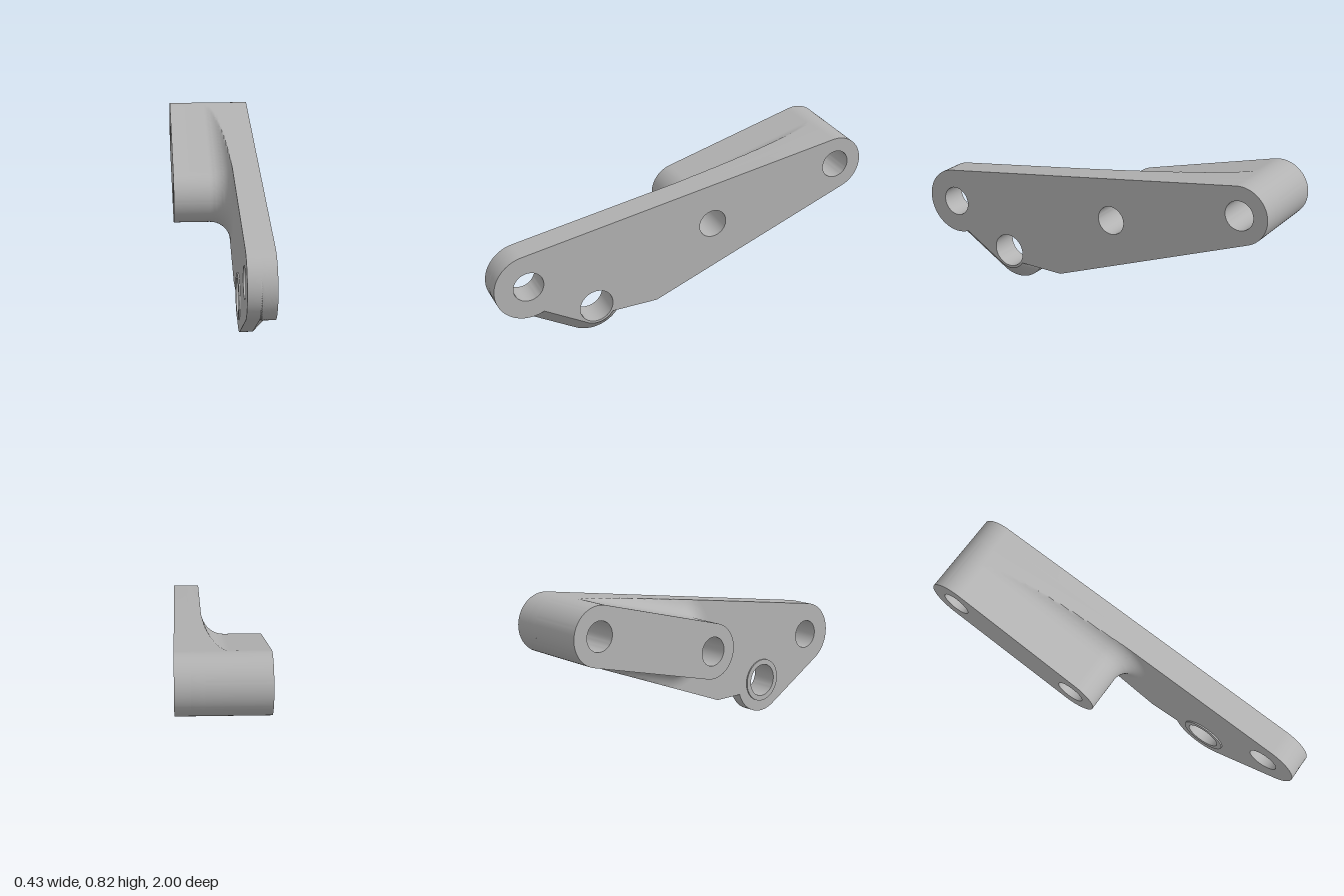
import * as THREE from 'three';
import { toCreasedNormals } from 'three/addons/utils/BufferGeometryUtils.js';

// Profiles are drawn in a side plane (s = -z, y) and stacked along x.
const V = (s, y) => new THREE.Vector2(s, y);
const polar = (a, r = 1) => V(Math.cos(a) * r, Math.sin(a) * r);
const X_ARM = -0.217, X_PLATE = 0.08, X_CHAMFER = 0.143, X_FACE = 0.217;

const rear = { c: V(0.855, 0.675), r: 0.145, hole: 0.073 };
const middle = { c: V(0.155, 0.49), r: 0.14, hole: 0.073 };
const front = { c: V(-0.827, 0.377), r: 0.173, hole: 0.077 };
const lower = { c: V(-0.482, 0.173), r: 0.173, hole: 0.087 };
const knee = V(-0.155, 0.12);

// Angles of the normals of the plate's straight edges
const span = rear.c.clone().sub(front.c);
const topAngle = span.angle() + Math.acos((front.r - rear.r) / span.length());
const back = knee.clone().sub(rear.c);
const bottomAngle = Math.atan2(back.y, back.x) + Math.acos(rear.r / back.length());
const link = lower.c.clone().sub(front.c);
const linkAngle = Math.atan2(link.y, link.x) + Math.PI * 1.5;

function arc(c, r, a0, a1, n) {
  return Array.from({ length: n + 1 }, (_, i) => polar(a0 + (a1 - a0) * i / n, r).add(c));
}

// Plate outline, with its lower lobe inset by t
function plateOutline(t) {
  const r = lower.r - t;
  return [
    ...arc(front.c, front.r, topAngle, linkAngle + Math.acos(r / front.r), 40),
    ...arc(lower.c, r, linkAngle, Math.PI * 2 + Math.asin((knee.y - lower.c.y) / r), 28),
    knee,
    ...arc(rear.c, rear.r, bottomAngle, topAngle, 40),
  ];
}

// Arm outline as points with outward normals and the room left inside the plate edges
function armOutline() {
  const d = rear.c.clone().sub(middle.c);
  const half = Math.acos((middle.r - rear.r) / d.length());
  const up = d.angle() + half, down = d.angle() - half;
  const out = [];
  const add = (p, a, fixed) => {
    const n = polar(a);
    let room = fixed ? 0 : Infinity;
    if (!fixed) for (const edge of [topAngle, bottomAngle]) {
      const m = polar(edge), facing = m.dot(n);
      const gap = m.dot(rear.c) + rear.r - m.dot(p);
      if (facing > 0.01) room = Math.min(room, Math.max(0, gap / facing));
    }
    out.push({ p, n, room });
  };
  const addArc = (e, a0, a1, steps) => {
    for (let i = 0; i <= steps; i++) {
      const a = a0 + (a1 - a0) * i / steps;
      add(polar(a, e.r).add(e.c), a, e === rear && a >= bottomAngle && a <= topAngle);
    }
  };
  const addLine = (e0, e1, a) => {
    const p0 = polar(a, e0.r).add(e0.c), p1 = polar(a, e1.r).add(e1.c);
    for (let i = 1; i < 60; i++) add(p0.clone().lerp(p1, i / 60), a, false);
  };
  addArc(rear, down, up, 48);
  addLine(rear, middle, up);
  addArc(middle, up, down + Math.PI * 2, 48);
  addLine(middle, rear, down);
  return out;
}

// Closed wall through a stack of counter-clockwise sections { x, pts }
function loft(sections) {
  const n = sections[0].pts.length, pos = [], index = [];
  sections.forEach(({ x, pts }) => pts.forEach(p => pos.push(x, p.y, -p.x)));
  for (let k = 0; k < sections.length - 1; k++) {
    for (let i = 0; i < n; i++) {
      const a = k * n + i, b = k * n + (i + 1) % n;
      index.push(a, b, b + n, a, b + n, a + n);
    }
  }
  const g = new THREE.BufferGeometry();
  g.setAttribute('position', new THREE.Float32BufferAttribute(pos, 3));
  g.setIndex(index);
  return toCreasedNormals(g, 0.5);
}

// Flat face with round holes, facing +x or -x
function cap(pts, holes, x, facing) {
  const shape = new THREE.Shape(pts);
  holes.forEach(h => shape.holes.push(new THREE.Path(arc(h.c, h.hole, 0, Math.PI * 2, 48).slice(0, -1))));
  const g = new THREE.ShapeGeometry(shape);
  if (facing < 0) {
    g.index.array.reverse();
    g.computeVertexNormals();
  }
  return g.rotateY(Math.PI / 2).translate(x, 0, 0);
}

// Inner wall of a drilled hole
function bore(h, x0, x1) {
  const pts = arc(h.c, h.hole, Math.PI * 2, 0, 48).slice(0, -1);
  return loft([{ x: x0, pts }, { x: x1, pts }]);
}

export function createModel() {
  const metal = new THREE.MeshStandardMaterial({ color: 0xb2b2b2 });
  metal.name = 'plain grey';
  const model = new THREE.Group();
  model.name = 'bracketLever';
  const part = name => {
    const g = new THREE.Group();
    g.name = name;
    model.add(g);
    return (label, geometry) => {
      const m = new THREE.Mesh(geometry, metal);
      m.name = label;
      g.add(m);
    };
  };
  const holes = [rear, middle, front, lower];

  // Main plate with the chamfered lower lobe
  const plate = part('mainPlate');
  const sections = [{ x: X_PLATE, pts: plateOutline(0) }];
  plate('plateEdge', loft([sections[0], { x: X_CHAMFER, pts: plateOutline(0) }]));
  const chamfer = [];
  for (let i = 0; i <= 10; i++) {
    const t = (X_FACE - X_CHAMFER) * i / 10;
    chamfer.push({ x: X_CHAMFER + t, pts: plateOutline(t) });
  }
  plate('chamferedEdge', loft(chamfer));
  plate('outerFace', cap(chamfer[10].pts, holes, X_FACE, 1));
  plate('innerFace', cap(sections[0].pts, holes, X_PLATE, -1));

  // Thick arm, flaring into the plate with a round fillet
  const arm = part('arm');
  const base = armOutline(), R = 0.11;
  const armSections = [{ x: X_ARM, pts: base.map(b => b.p) }];
  for (let i = 0; i <= 16; i++) {
    const a = Math.PI / 2 * i / 16, grow = R * (1 - Math.cos(a));
    armSections.push({
      x: X_PLATE - R + R * Math.sin(a),
      pts: base.map(({ p, n, room }) => p.clone().addScaledVector(n, Math.min(grow, room))),
    });
  }
  arm('armWall', loft(armSections));
  arm('armFace', cap(armSections[0].pts, [rear, middle], X_ARM, -1));

  // Low raised ring round the lower hole
  const ring = part('raisedRing');
  const rim = arc(lower.c, 0.115, 0, Math.PI * 2, 48).slice(0, -1);
  ring('ringEdge', loft([{ x: 0.073, pts: rim }, { x: X_PLATE, pts: rim }]));
  ring('ringFace', cap(rim, [lower], 0.073, -1));

  // Drilled holes
  const bores = part('bores');
  bores('rearBore', bore(rear, X_ARM, X_FACE));
  bores('middleBore', bore(middle, X_ARM, X_FACE));
  bores('frontBore', bore(front, X_PLATE, X_FACE));
  bores('lowerBore', bore(lower, 0.073, X_FACE));

  return model;
}
